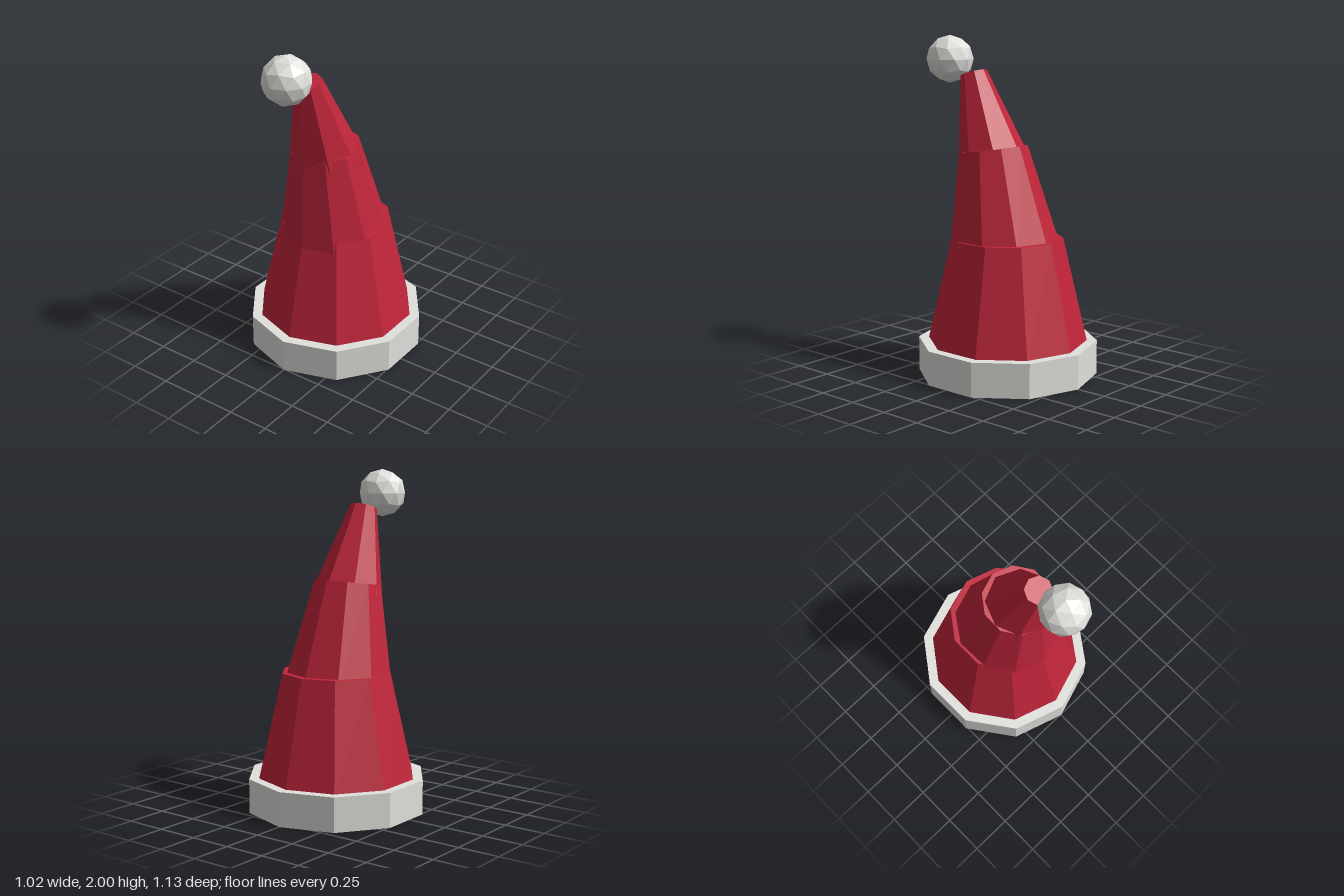
import * as THREE from 'three';

export function createModel() {
  const red = new THREE.MeshStandardMaterial({ color: 0xc0253a });
  red.name = 'red felt';
  const white = new THREE.MeshStandardMaterial({ color: 0xe0e0dc });
  white.name = 'white trim';

  const hat = new THREE.Group();
  hat.name = 'hat';

  const add = (name, geometry, material) => {
    const flat = geometry.index ? geometry.toNonIndexed() : geometry;
    flat.computeVertexNormals(); // one normal per facet
    const mesh = new THREE.Mesh(flat, material);
    mesh.name = name;
    hat.add(mesh);
  };

  // Capped frustum hung from the centre of its top ring, leaning forward by tilt
  const tier = (name, material, { top, bottom, length, sides, y, z, tilt = 0 }) => {
    const geometry = new THREE.CylinderGeometry(top, bottom, length, sides);
    geometry.translate(0, -length / 2, 0);
    geometry.rotateX(THREE.MathUtils.degToRad(tilt));
    geometry.translate(0, y, z);
    add(name, geometry, material);
  };

  // Trim band around the base
  tier('brimBand', white, { top: 0.535, bottom: 0.535, length: 0.205, sides: 10, y: 0.205, z: -0.03 });

  // Three stacked cones, each leaning further forward
  tier('lowerCone', red, { top: 0.33, bottom: 0.485, length: 0.665, sides: 10, y: 0.825, z: -0.03 });
  tier('middleCone', red, { top: 0.205, bottom: 0.33, length: 0.6, sides: 10, y: 1.34, z: 0.08, tilt: 8.4 });
  tier('upperCone', red, { top: 0.08, bottom: 0.207, length: 0.52, sides: 8, y: 1.783, z: 0.235, tilt: 16.7 });

  // Pompom: icosphere turned so that a corner points straight up
  const ball = new THREE.IcosahedronGeometry(0.143, 1);
  ball.rotateZ(Math.atan(2 / (1 + Math.sqrt(5))));
  ball.translate(0, 1.857, 0.425);
  add('pompom', ball, white);

  return hat;
}
